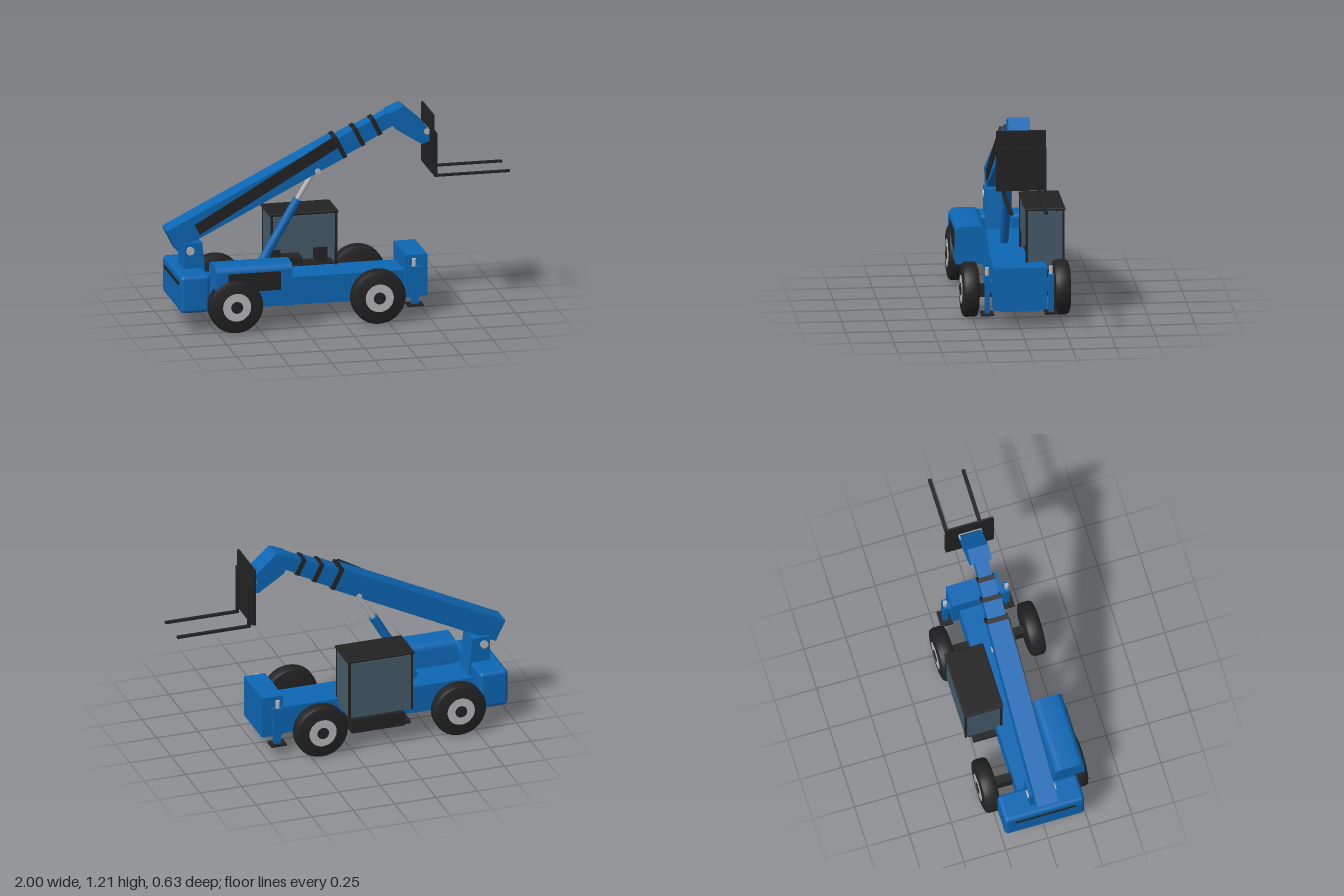
import * as THREE from 'three';
import { toCreasedNormals } from 'three/addons/utils/BufferGeometryUtils.js';
import { RoundedBoxGeometry } from 'three/addons/geometries/RoundedBoxGeometry.js';

const mat = (name, color, side = THREE.FrontSide) => {
  const m = new THREE.MeshStandardMaterial({ color, side });
  m.name = name;
  return m;
};

export function createModel() {
  const root = new THREE.Group();
  root.name = 'telescopicHandler';
  const blue = mat('blue paint', 0x0d66b3);
  const dark = mat('dark rubber', 0x222222);
  const grey = mat('light metal', 0xb6b6ba);
  const glass = mat('cab glass', 0x445a69, THREE.DoubleSide);

  const add = (name, geometry, material, parent = root) => {
    const mesh = new THREE.Mesh(geometry, material);
    mesh.name = name;
    parent.add(mesh);
    return mesh;
  };
  // Box given by its limits on each axis
  const box = (name, m, x0, x1, y0, y1, z0, z1, parent = root) => {
    const mesh = add(name, new THREE.BoxGeometry(x1 - x0, y1 - y0, z1 - z0), m, parent);
    mesh.position.set((x0 + x1) / 2, (y0 + y1) / 2, (z0 + z1) / 2);
    return mesh;
  };
  // Side outline extruded between two z limits
  const plate = (name, m, points, z0, z1) => {
    const shape = new THREE.Shape(points.map(([x, y]) => new THREE.Vector2(x, y)));
    const g = new THREE.ExtrudeGeometry(shape, { depth: z1 - z0, bevelEnabled: false });
    return add(name, g.translate(0, 0, z0), m);
  };
  // Round bar between two points
  const bar = (name, m, a, b, r, sides = 24) => {
    const p = new THREE.Vector3(...a), q = new THREE.Vector3(...b);
    const d = q.clone().sub(p);
    const mesh = add(name, new THREE.CylinderGeometry(r, r, d.length(), sides), m);
    mesh.position.copy(p).add(q).multiplyScalar(0.5);
    mesh.quaternion.setFromUnitVectors(new THREE.Vector3(0, 1, 0), d.normalize());
    return mesh;
  };

  // Chassis, nose block and rear counterweight
  box('chassis', blue, -0.85, 0.48, 0.095, 0.26, -0.11, 0.11);
  box('noseBlock', blue, 0.378, 0.505, 0.11, 0.358, -0.153, 0.153);
  add('counterweight', new RoundedBoxGeometry(0.17, 0.22, 0.475, 4, 0.022), blue)
    .position.set(-0.87, 0.23, -0.002);
  box('rearSlot', dark, -0.96, -0.953, 0.278, 0.296, -0.18, 0.18);
  plate('boomMount', blue,
    [[-0.9, 0.25], [-0.77, 0.25], [-0.795, 0.49], [-0.9, 0.49]], -0.077, 0.077);
  bar('boomPivotPin', grey, [-0.865, 0.445, -0.085], [-0.865, 0.445, 0.085], 0.024);

  // Engine housing with rounded upper edges
  const r = 0.04, hood = new THREE.Shape();
  hood.moveTo(0.1, 0.175);
  hood.lineTo(0.29, 0.175);
  hood.lineTo(0.29, 0.395 - r);
  hood.absarc(0.29 - r, 0.395 - r, r, 0, Math.PI / 2);
  hood.lineTo(0.115 + r, 0.395);
  hood.absarc(0.115 + r, 0.395 - r, r, Math.PI / 2, Math.PI);
  hood.lineTo(0.1, 0.26);
  const hoodGeo = new THREE.ExtrudeGeometry(hood, { depth: 0.45, bevelEnabled: false, curveSegments: 8 });
  hoodGeo.rotateY(-Math.PI / 2).translate(-0.315, 0, 0);
  add('engineHousing', toCreasedNormals(hoodGeo, 0.6), blue);
  box('engineGrille', dark, -0.69, -0.385, 0.245, 0.355, 0.287, 0.294);

  // Wheels and axles
  const tyreProfile = [[0, -0.047], [0.13, -0.047], [0.15, -0.04], [0.158, -0.025],
    [0.158, 0.025], [0.15, 0.04], [0.13, 0.047], [0, 0.047]].map(p => new THREE.Vector2(...p));
  const tyreGeo = toCreasedNormals(new THREE.LatheGeometry(tyreProfile, 40), 0.7);
  tyreGeo.rotateX(Math.PI / 2);
  for (const x of [-0.645, 0.19]) {
    box('axle', dark, x - 0.025, x + 0.025, 0.117, 0.188, -0.24, 0.24);
    for (const s of [-1, 1]) {
      add('tyre', tyreGeo, dark).position.set(x, 0.16, s * 0.262);
      bar('wheelRim', grey, [x, 0.16, s * 0.3], [x, 0.16, s * 0.311], 0.082, 32);
      bar('wheelHub', dark, [x, 0.16, s * 0.3], [x, 0.16, s * 0.314], 0.035);
    }
  }

  // Stabiliser legs beside the nose
  for (const s of [-1, 1]) {
    const z = s * 0.183;
    plate('stabiliserLeg', blue,
      [[0.405, 0.08], [0.445, 0.08], [0.455, 0.3], [0.395, 0.3]], z - 0.014, z + 0.014);
    box('stabiliserBracket', blue, 0.4, 0.445, 0.2, 0.27, Math.min(s * 0.15, z), Math.max(s * 0.15, z));
    bar('stabiliserRod', grey, [0.42, 0.29, z], [0.42, 0.345, z], 0.012);
    box('stabiliserFoot', dark, 0.376, 0.47, 0.07, 0.08, z - 0.037, z + 0.037);
  }

  // Cab: roof, corner posts, glass, floor and seat
  const X0 = -0.352, X1 = 0.025, Z0 = -0.293, Z1 = -0.083, low = 0.22;
  add('cabRoof', new RoundedBoxGeometry(0.405, 0.016, 0.232, 3, 0.007), dark)
    .position.set(-0.164, 0.577, -0.188);
  for (const x of [X0, X1])
    for (const z of [Z0, Z1])
      box('cabPost', dark, x - 0.006, x + 0.006, low, 0.572, z - 0.006, z + 0.006);
  for (const x of [X0, X1]) box('cabEndGlass', glass, x - 0.002, x + 0.002, low, 0.562, Z0, Z1);
  box('cabOuterGlass', glass, X0, X1, low, 0.562, Z0 - 0.002, Z0 + 0.002);
  box('cabInnerGlass', glass, X0, X1, 0.37, 0.562, Z1 - 0.002, Z1 + 0.002);
  box('cabFloor', dark, X0, X1, 0.25, 0.265, -0.215, -0.1);
  box('seatCushion', dark, -0.3, -0.16, 0.26, 0.3, -0.24, -0.13);
  box('seatBack', dark, -0.312, -0.288, 0.26, 0.365, -0.24, -0.13);
  box('controlConsole', dark, -0.072, -0.014, 0.26, 0.36, -0.24, -0.13);
  box('cabBase', dark, -0.32, 0.0, 0.105, 0.19, -0.265, -0.1);
  box('cabStep', dark, -0.36, -0.3, 0.105, 0.125, -0.25, -0.1);

  // Telescopic boom: nested stages, each ending in a dark collar
  const boom = new THREE.Group();
  boom.name = 'boom';
  boom.position.set(-1, 0.565, 0);
  boom.rotation.z = THREE.MathUtils.degToRad(26.5);
  root.add(boom);
  const stages = [ // start, end, top, bottom, half width
    [0, 1.1, 0, -0.134, 0.062],
    [1.09, 1.225, -0.014, -0.126, 0.054],
    [1.21, 1.34, -0.021, -0.121, 0.047],
    [1.33, 1.47, -0.029, -0.115, 0.04],
  ];
  stages.forEach(([a, b, t, d, w], i) => {
    box('boomStage', blue, a, b, d, t, -w, w, boom);
    if (i < 3) box('boomCollar', dark, b - 0.012, b + 0.014, d - 0.002, t + 0.002, -w - 0.002, w + 0.002, boom);
  });
  plate('boomSidePanel', dark,
    [[-0.805, 0.535], [0.005, 1.0], [-0.03, 1.06], [-0.838, 0.592]], 0.06, 0.068);

  // Boom head
  plate('boomHead', blue,
    [[0.3, 1.18], [0.34, 1.085], [0.495, 0.985], [0.538, 1.0], [0.54, 1.06], [0.515, 1.1], [0.385, 1.215]],
    -0.062, 0.062);
  bar('headPin', grey, [0.525, 1.06, -0.068], [0.525, 1.06, 0.068], 0.018);

  // Lift cylinder
  bar('liftBarrel', blue, [-0.465, 0.27, 0], [-0.22, 0.69, 0], 0.026);
  bar('liftRod', grey, [-0.225, 0.682, 0], [-0.115, 0.865, 0], 0.015);
  bar('liftPin', grey, [-0.115, 0.865, -0.068], [-0.115, 0.865, 0.068], 0.017);

  // Fork carriage and forks
  box('carriagePlate', dark, 0.538, 0.55, 0.827, 1.178, -0.143, 0.143);
  box('carriageFrame', dark, 0.55, 0.559, 0.827, 1.08, -0.143, 0.143);
  for (const z of [-0.1, 0.1]) {
    box('forkUpright', dark, 0.557, 0.573, 0.8, 1.06, z - 0.011, z + 0.011);
    box('forkTine', dark, 0.56, 1.0, 0.8, 0.812, z - 0.011, z + 0.011);
  }
  return root;
}
